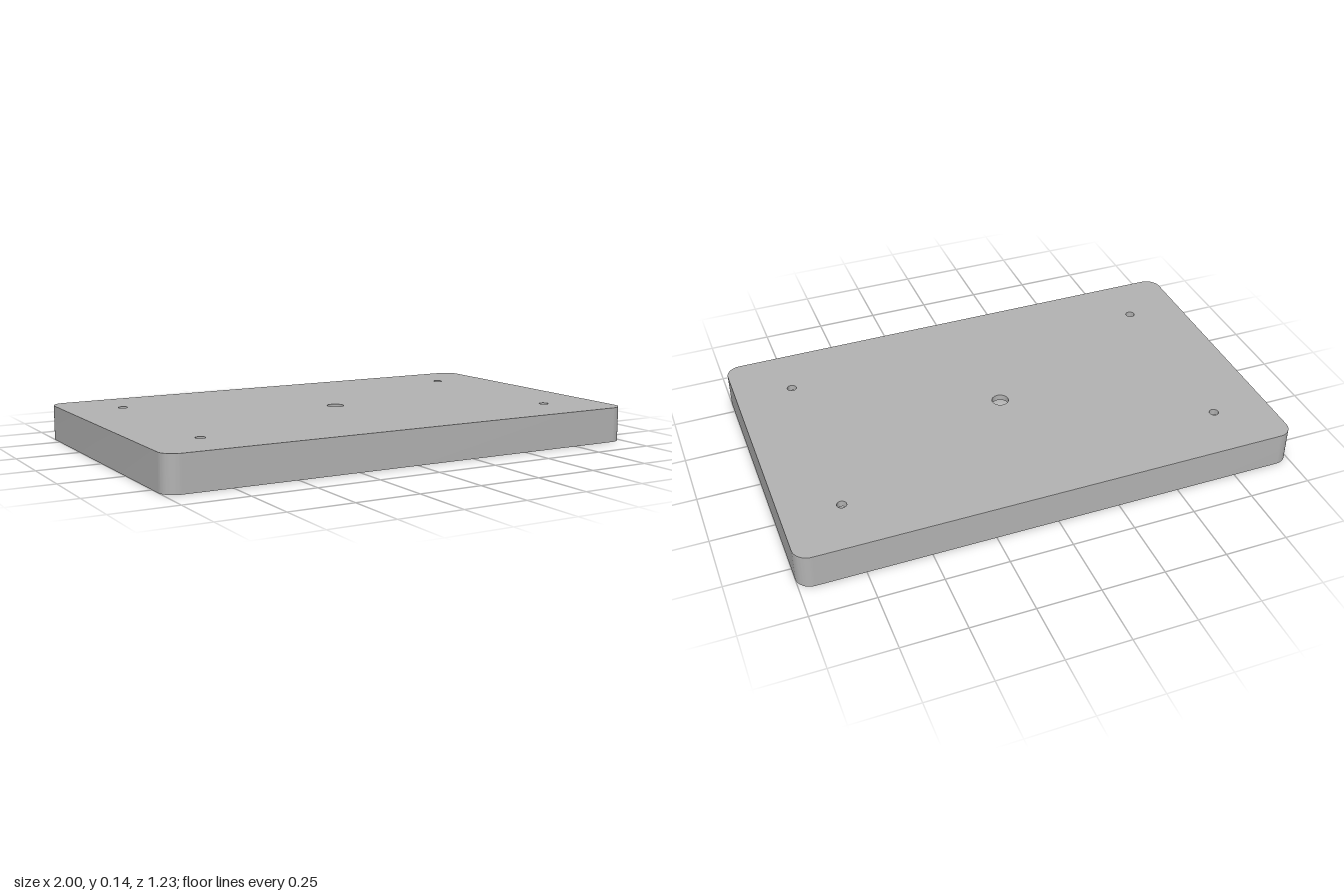
import * as THREE from 'three';
import { toCreasedNormals } from 'three/addons/utils/BufferGeometryUtils.js';

const W = 2, D = 1.23, H = 0.14;      // outer size
const STEP_Y = 0.02, CEILING_Y = 0.115; // ledge and cavity heights
const SEGMENTS = 8;

// Rounded rectangle, inset from the outer edge, counter-clockwise
function roundedRect(inset, r, Type = THREE.Shape) {
  const x = W / 2 - inset, y = D / 2 - inset;
  const s = new Type();
  s.absarc(x - r, -y + r, r, -Math.PI / 2, 0);
  s.absarc(x - r, y - r, r, 0, Math.PI / 2);
  s.absarc(-x + r, y - r, r, Math.PI / 2, Math.PI);
  s.absarc(-x + r, -y + r, r, Math.PI, Math.PI * 1.5);
  s.closePath();
  return s;
}

function circle(x, y, r) {
  return new THREE.Path().absarc(x, y, r, 0, Math.PI * 2);
}

// Vertical wall along an outline, facing outward or inward
function wall(outline, y0, y1, inward = false) {
  const pts = outline.getPoints(SEGMENTS), pos = [];
  for (let i = 0; i < pts.length; i++) {
    const p = pts[i], q = pts[(i + 1) % pts.length];
    if (p.distanceTo(q) < 1e-6) continue;
    const [a, b] = inward ? [q, p] : [p, q];
    pos.push(a.x, y0, -a.y, b.x, y0, -b.y, b.x, y1, -b.y);
    pos.push(a.x, y0, -a.y, b.x, y1, -b.y, a.x, y1, -a.y);
  }
  const g = new THREE.BufferGeometry();
  g.setAttribute('position', new THREE.Float32BufferAttribute(pos, 3));
  return toCreasedNormals(g, 0.9);
}

// Horizontal face with holes, facing up or down
function face(shape, holes, y, up) {
  shape.holes.push(...holes);
  return new THREE.ShapeGeometry(shape, SEGMENTS)
    .rotateX(up ? -Math.PI / 2 : Math.PI / 2)
    .translate(0, y, 0);
}

export function createModel() {
  const group = new THREE.Group();
  const grey = new THREE.MeshStandardMaterial({ color: 0xb4b4b4 });
  grey.name = 'grey';
  const add = (name, geometry) => {
    const mesh = new THREE.Mesh(geometry, grey);
    mesh.name = name;
    group.add(mesh);
  };

  // Outlines of the lid, the lip recess and the deep cavity
  const outer = () => roundedRect(0, 0.06);
  const recess = () => roundedRect(0.054, 0.045);
  const cavity = () => roundedRect(0.085, 0.035);

  // Four screw holes and a centre hole
  const holes = [circle(0, 0, 0.034)];
  for (const x of [-0.77, 0.77])
    for (const y of [-0.385, 0.385]) holes.push(circle(x, y, 0.019));

  add('topFace', face(outer(), holes, H, true));
  add('outerWall', wall(outer(), 0, H));
  add('bottomRim', face(outer(), [recess()], 0, false));
  add('recessWall', wall(recess(), 0, STEP_Y, true));
  add('ledge', face(recess(), [cavity()], STEP_Y, false));
  add('cavityWall', wall(cavity(), STEP_Y, CEILING_Y, true));
  add('cavityCeiling', face(cavity(), holes, CEILING_Y, false));
  holes.forEach((hole, i) =>
    add(i === 0 ? 'centreHole' : 'screwHole' + i, wall(hole, CEILING_Y, H, true)));

  return group;
}
